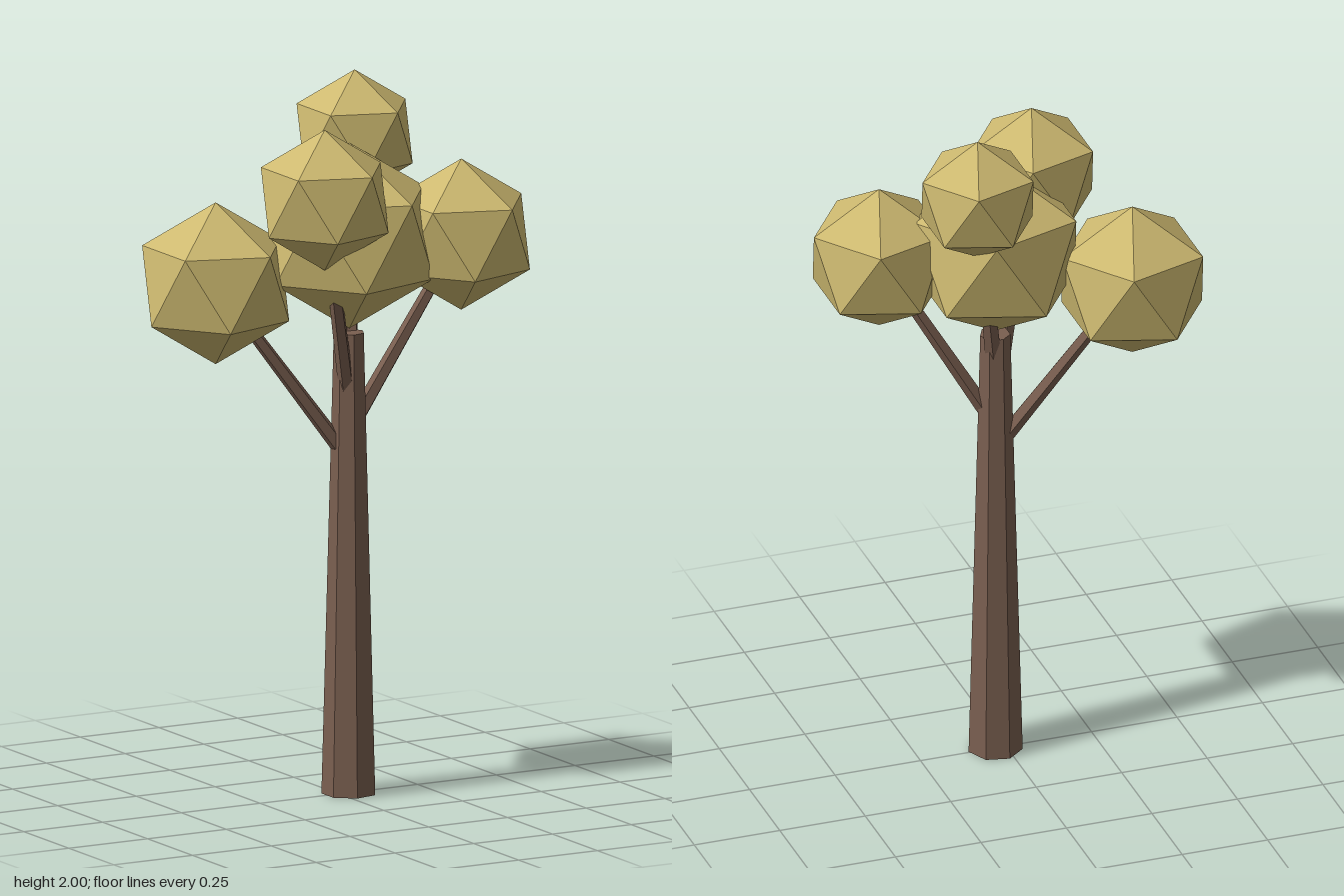
import * as THREE from 'three';

const bark = new THREE.MeshStandardMaterial({ color: 0x7a5f50, flatShading: true });
const leaf = new THREE.MeshStandardMaterial({ color: 0xcdb970, flatShading: true });

// Foliage clumps: centre, radius and the trunk height where the branch starts
const clumps = [
  { name: 'leftFoliage', at: [0.343, 1.557, 0.08], r: 0.213, fork: 1.02 },
  { name: 'rightFoliage', at: [-0.334, 1.457, -0.1], r: 0.228, fork: 0.94 },
  { name: 'frontFoliage', at: [-0.123, 1.713, 0.137], r: 0.198, fork: 1.08 },
  { name: 'topFoliage', at: [0.137, 1.82, -0.152], r: 0.18, fork: 1.18 },
  { name: 'centreFoliage', at: [0.032, 1.572, 0.002], r: 0.262 },
];

// Tapered straight limb between two points
function limb(name, from, to, r0, r1, sides) {
  const dir = to.clone().sub(from);
  const geo = new THREE.CylinderGeometry(r1, r0, dir.length(), sides);
  geo.rotateY(Math.PI / 2);
  const mesh = new THREE.Mesh(geo, bark);
  mesh.name = name;
  mesh.position.copy(from).addScaledVector(dir, 0.5);
  mesh.quaternion.setFromUnitVectors(new THREE.Vector3(0, 1, 0), dir.normalize());
  return mesh;
}

export function createModel() {
  const tree = new THREE.Group();
  tree.name = 'tree';

  // Seven-sided trunk
  const axis = (y) => new THREE.Vector3(0.031, y, 0.004);
  tree.add(limb('trunk', axis(0), axis(1.3), 0.077, 0.043, 7));

  for (const { name, at, r, fork } of clumps) {
    const centre = new THREE.Vector3(...at);

    // Icosahedron standing on one corner
    const geo = new THREE.IcosahedronGeometry(r, 0);
    geo.rotateZ(-Math.atan(2 / (1 + Math.sqrt(5))));
    const clump = new THREE.Mesh(geo, leaf);
    clump.name = name;
    clump.position.copy(centre);
    tree.add(clump);

    // Branch from the trunk into the clump
    if (fork) {
      const start = axis(fork);
      const tip = start.clone().lerp(centre, 0.9);
      tree.add(limb(name.replace('Foliage', 'Branch'), start, tip, 0.024, 0.017, 5));
    }
  }
  return tree;
}
